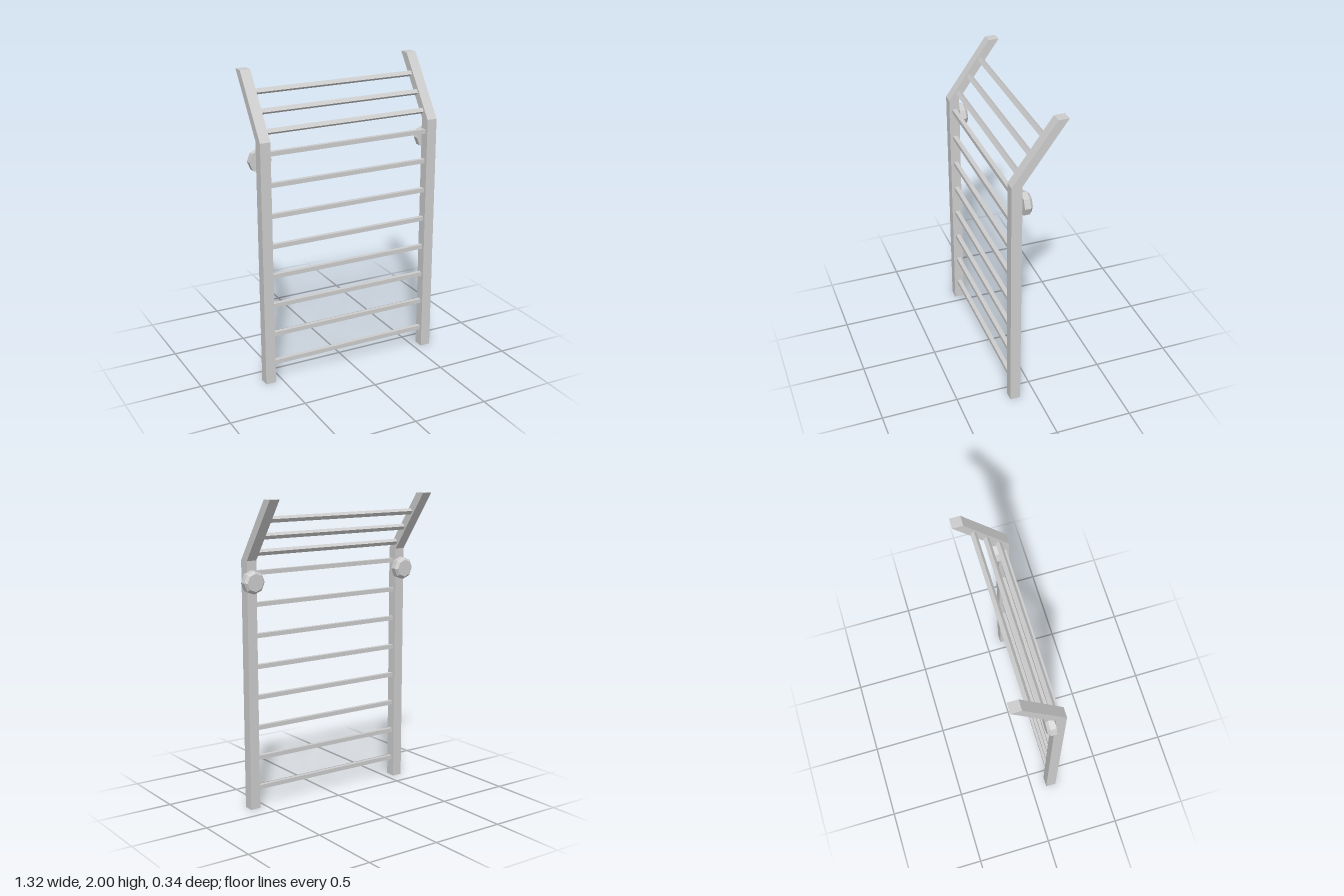
import * as THREE from 'three';

const RAIL_X = 0.584, RAIL_W = 0.068;
const FRONT = 0.172, BACK = 0.104, BEND_Y = 1.613, TOP_SHIFT = 0.277;
const MID = (FRONT + BACK) / 2;
const LEAN = Math.atan2(TOP_SHIFT, 2 - BEND_Y);

export function createModel() {
  const group = new THREE.Group();
  const material = new THREE.MeshStandardMaterial({ color: 0xcccccc, flatShading: true });

  const add = (name, geometry, x, y, z) => {
    const mesh = new THREE.Mesh(geometry, material);
    mesh.name = name;
    mesh.position.set(x, y, z);
    group.add(mesh);
    return mesh;
  };

  // Side rail: upright profile leaning backwards above the bend
  const profile = new THREE.Shape([
    [FRONT, 0], [FRONT, BEND_Y], [FRONT - TOP_SHIFT, 2],
    [BACK - TOP_SHIFT, 2], [BACK, BEND_Y], [BACK, 0],
  ].map(([z, y]) => new THREE.Vector2(z, y)));
  const rail = new THREE.ExtrudeGeometry(profile, { depth: RAIL_W, bevelEnabled: false });
  rail.translate(0, 0, -RAIL_W / 2).rotateY(-Math.PI / 2);

  // Eight-sided wall mount with a chamfered back
  const mount = new THREE.LatheGeometry([
    [0, 0], [0.074, 0], [0.074, 0.038], [0.057, 0.055], [0, 0.055],
  ].map(([r, y]) => new THREE.Vector2(r, y)), 8);
  mount.rotateX(-Math.PI / 2);

  for (const [side, s] of [['left', 1], ['right', -1]]) {
    add(side + 'Rail', rail, s * RAIL_X, 0, 0);
    add(side + 'WallMount', mount, s * 0.588, 1.482, BACK + 0.001);
  }

  // Square rungs between the rails
  const rung = new THREE.BoxGeometry(2 * RAIL_X - RAIL_W + 0.01, 0.028, 0.028);
  for (let i = 0; i < 8; i++) add('rung' + (i + 1), rung, 0, 0.132 + i * 0.2, MID);

  // Three rungs tilted with the leaning top
  for (let i = 0; i < 3; i++) {
    const y = 1.66 + i * 0.107;
    const z = MID - (y - BEND_Y) * Math.tan(LEAN);
    add('topRung' + (i + 1), rung, 0, y, z).rotation.x = -LEAN;
  }
  return group;
}
